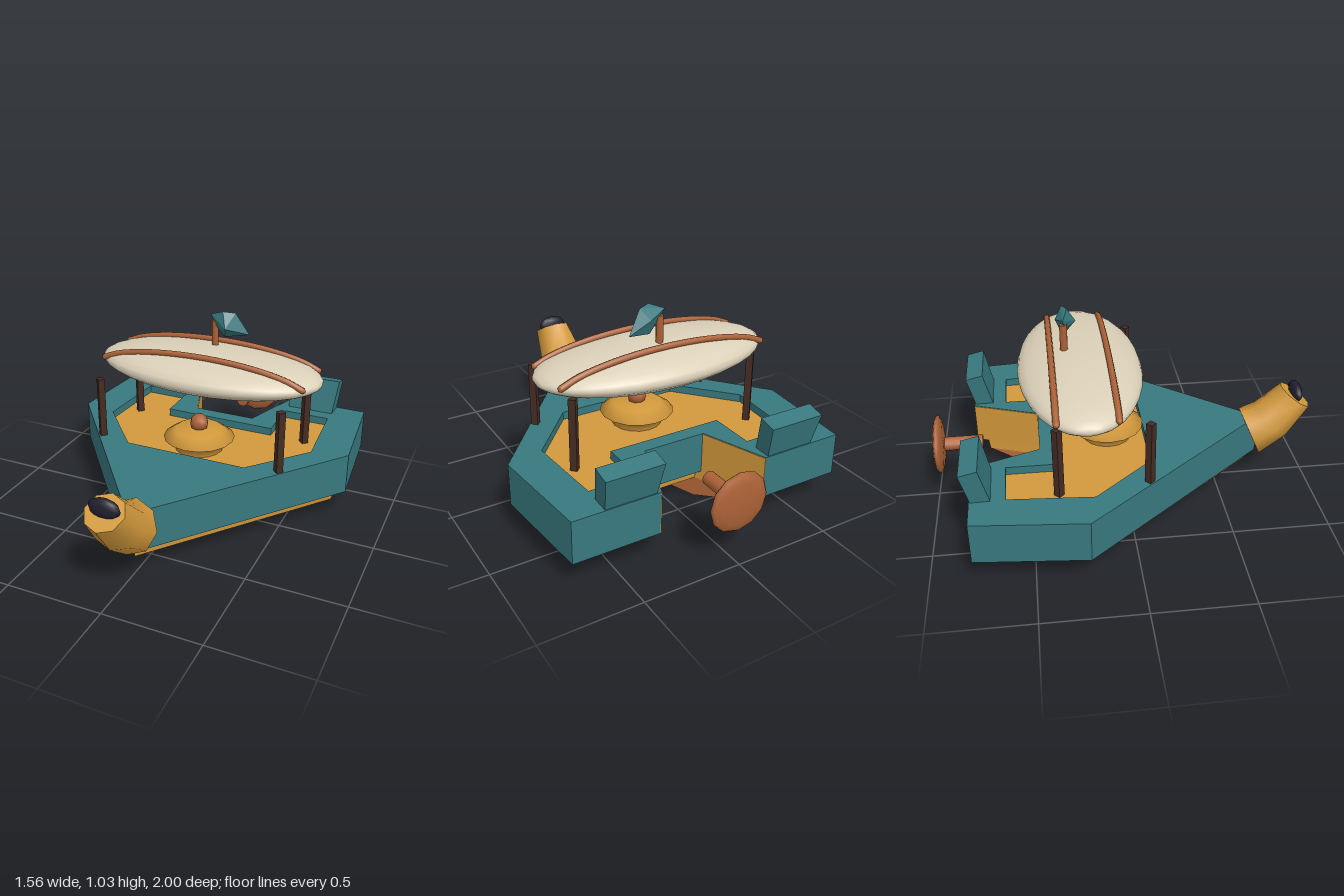
import * as THREE from 'three';
import { ConvexGeometry } from 'three/addons/geometries/ConvexGeometry.js';

const mat = (name, color, flatShading = false) => {
  const m = new THREE.MeshStandardMaterial({ color, flatShading });
  m.name = name;
  return m;
};

export function createModel() {
  const teal = mat('teal paint', 0x38797f);
  const ochre = mat('ochre', 0xd2993c);
  const copper = mat('copper', 0xac6237);
  const cream = mat('cream canvas', 0xdbd0b8);
  const wood = mat('dark wood', 0x452c23);
  const dark = mat('dark glass', 0x23202f);

  const root = new THREE.Group();
  const add = (name, geo, material, x = 0, y = 0, z = 0) => {
    const m = new THREE.Mesh(geo, material);
    m.name = name;
    m.position.set(x, y, z);
    root.add(m);
    return m;
  };

  // Mirror half an outline of [x, z] points into a closed one
  const mirrored = half => [
    ...half,
    ...half.filter(p => p[0] > 0).reverse().map(([x, z]) => [-x, z]),
  ].map(([x, z]) => new THREE.Vector2(x, -z));

  const hullOutline = mirrored([[0, 0.727], [0.78, -0.24], [0.73, -0.79], [0.29, -0.79], [0.17, -0.45]]);
  const deckOutline = mirrored([[0.33, 0.1], [0.59, -0.2], [0.56, -0.62], [0.31, -0.62], [0.31, -0.37]]);

  // Upright slab from y0 to y1
  const slab = (shape, y0, y1) => new THREE.ExtrudeGeometry(shape, { depth: y1 - y0, bevelEnabled: false })
    .rotateX(-Math.PI / 2).translate(0, y0, 0);

  // Hull slab with separate plan scales and z shifts at its bottom and top
  const taperedHull = (y0, y1, bottom, top) => {
    const g = slab(new THREE.Shape(hullOutline), y0, y1);
    const p = g.attributes.position;
    for (let i = 0; i < p.count; i++) {
      const [sx, sz, shift] = p.getY(i) < (y0 + y1) / 2 ? bottom : top;
      p.setX(i, p.getX(i) * sx);
      p.setZ(i, p.getZ(i) * sz + shift);
    }
    g.computeVertexNormals();
    return g;
  };

  // Hull: teal rim around a sunken deck, ochre band, copper keel
  const rim = new THREE.Shape(hullOutline);
  rim.holes.push(new THREE.Path(deckOutline));
  add('hullRim', slab(rim, 0.145, 0.362), teal);
  add('deck', slab(new THREE.Shape(deckOutline), 0.142, 0.32), ochre);
  const mid = [0.912, 0.918, 0];
  add('hullBand', taperedHull(0.093, 0.145, mid, [0.928, 0.928, 0]), ochre);
  add('keel', taperedHull(0, 0.093, [0.485, 0.468, -0.06], mid), copper);

  // Ochre lining on the side walls of the rear notch
  for (const s of [-1, 1]) {
    const lining = add('notchLining', new THREE.BoxGeometry(0.008, 0.214, Math.hypot(0.12, 0.34)),
      ochre, s * 0.23, 0.2525, -0.62);
    lining.rotation.y = -s * Math.atan2(0.12, 0.34);
  }

  // Tail fins leaning backwards
  const finShape = new THREE.Shape([[-0.122, -0.06], [0.122, -0.06], [0.147, 0.19], [-0.147, 0.19]]
    .map(([x, y]) => new THREE.Vector2(x, y)));
  for (const s of [-1, 1]) {
    const fin = add('tailFin', new THREE.ExtrudeGeometry(finShape, { depth: 0.092, bevelEnabled: false })
      .translate(0, 0, -0.092), teal, s * 0.437, 0.362, -0.69);
    fin.rotation.x = -0.235;
  }

  // Bent figurehead: rings given as upper [z, y], lower [z, y], half width
  const rings = [
    [[0.63, 0.4], [0.74, 0.15], 0.132],
    [[0.705, 0.42], [0.89, 0.27], 0.13],
    [[0.84, 0.54], [1.0, 0.43], 0.1],
  ];
  const head = new THREE.CylinderGeometry(1, 1, 2, 8, 2);
  const hp = head.attributes.position;
  for (let i = 0; i < hp.count; i++) {
    const [up, low, w] = rings[Math.round(hp.getY(i)) + 1];
    const t = (hp.getZ(i) + 1) / 2;
    hp.setXYZ(i, hp.getX(i) * w, up[1] + (low[1] - up[1]) * t, up[0] + (low[0] - up[0]) * t);
  }
  head.computeVertexNormals();
  add('figurehead', head, ochre);
  add('figureheadCap', new THREE.SphereGeometry(1, 10, 8).scale(0.08, 0.05, 0.031), dark, 0, 0.508, 0.92);

  // Domed hatch with a knob
  const hatchProfile = [[0.13, 0.32], [0.14, 0.36], [0.19, 0.385], [0.125, 0.43], [0, 0.44]]
    .map(([r, y]) => new THREE.Vector2(r, y));
  add('hatch', new THREE.LatheGeometry(hatchProfile, 16), ochre, 0, 0, -0.09);
  add('hatchKnob', new THREE.SphereGeometry(0.05, 8, 6), copper, 0, 0.463, -0.09);

  // Square posts
  for (const x of [-0.5, 0.5]) {
    for (const z of [0.067, -0.368]) {
      add('post', new THREE.CylinderGeometry(0.025, 0.025, 0.37, 4), mat4(wood), x, 0.505, z);
    }
  }

  // Balloon and the two straps over it
  add('balloon', new THREE.SphereGeometry(1, 24, 16).rotateZ(Math.PI / 2).scale(0.617, 0.105, 0.312),
    cream, 0, 0.733, -0.225);
  const arc = [];
  for (let i = 0; i <= 16; i++) {
    const x = -0.555 + (1.11 * i) / 16;
    arc.push(new THREE.Vector3(x, 0.697 + 0.14 * Math.sqrt(1 - (x / 0.6) ** 2), 0));
  }
  const strapCurve = new THREE.CatmullRomCurve3(arc);
  for (const z of [-0.085, -0.368]) {
    add('strap', new THREE.TubeGeometry(strapCurve, 28, 0.016, 8), copper, 0, 0, z);
    for (const s of [-1, 1]) {
      add('strapEnd', new THREE.SphereGeometry(0.016, 8, 6), copper, s * 0.555, arc[0].y, z);
    }
  }

  // Mast with a faceted pennant
  add('mast', new THREE.CylinderGeometry(0.019, 0.019, 0.15, 8), copper, 0, 0.895, -0.298);
  const facets = [
    [-0.027, 1.0, -0.3], [0.05, 1.03, -0.275], [0.112, 1.022, -0.3], [0.183, 0.905, -0.325],
    [0.055, 0.885, -0.298], [0.08, 0.95, -0.232], [0.07, 0.965, -0.335], [0.002, 0.945, -0.29],
  ].map(p => new THREE.Vector3(...p));
  add('pennant', new ConvexGeometry(facets), teal);

  // Propeller disc on its shaft
  add('propellerShaft', new THREE.CylinderGeometry(0.036, 0.036, 0.22, 12).rotateX(Math.PI / 2),
    copper, 0, 0.318, -0.85);
  add('propellerDisc', new THREE.SphereGeometry(1, 12, 8).rotateX(Math.PI / 2).scale(0.153, 0.153, 0.032),
    copper, 0, 0.318, -0.967);

  return root;
}

// Flat faces for square posts
function mat4(m) {
  m.flatShading = true;
  return m;
}
